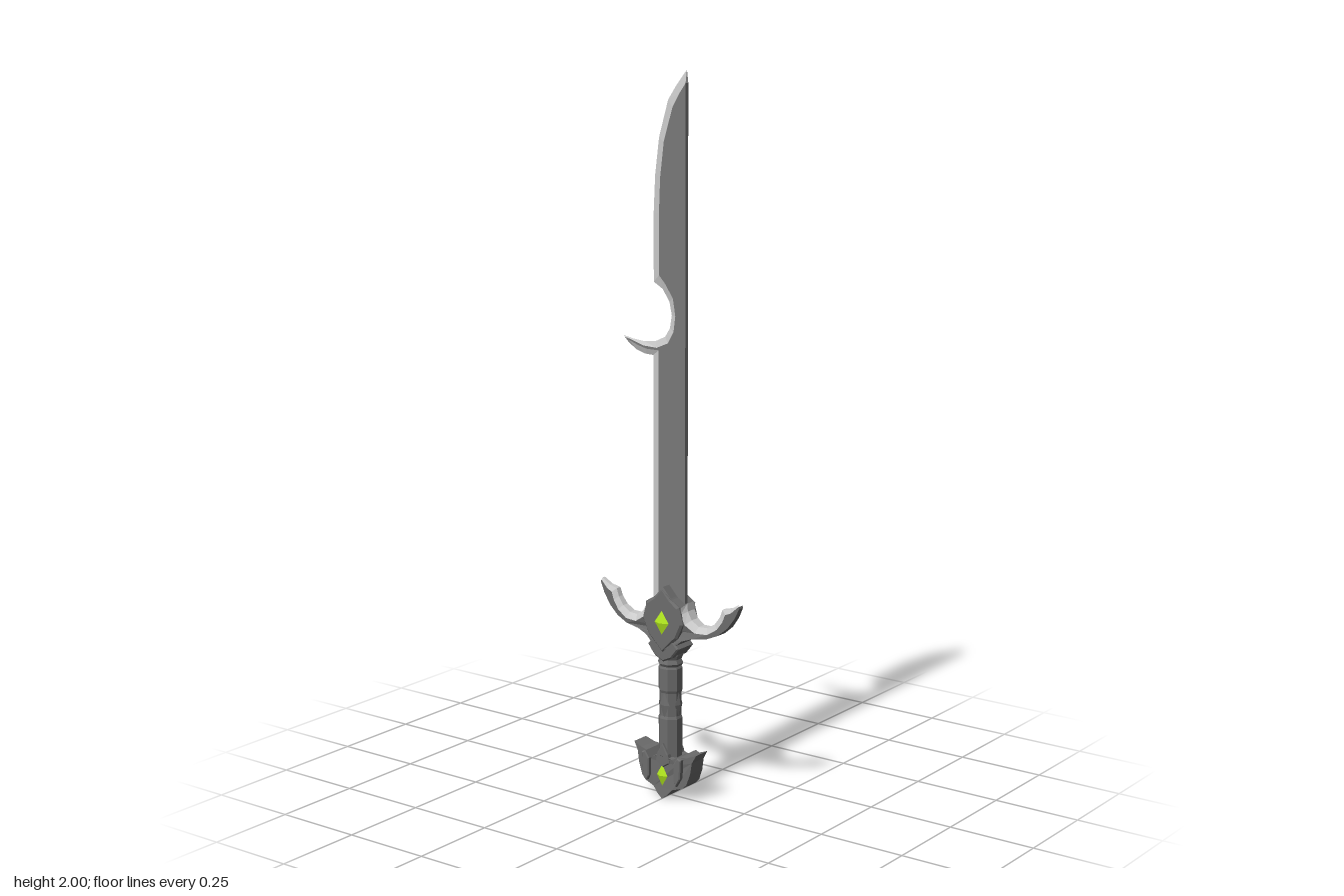
import * as THREE from 'three';

const paint = color => new THREE.MeshStandardMaterial({ color, flatShading: true });
const bright = paint(0xcccccc);
const bladeSteel = paint(0x787878);
const hiltSteel = paint(0x6c6c6c);
const green = paint(0xb4ea20);

function add(parent, name, geometry, material = hiltSteel) {
  const mesh = new THREE.Mesh(geometry, material);
  mesh.name = name;
  parent.add(mesh);
  return mesh;
}

// Completes a right-half outline (listed top to bottom) with its mirror image
function mirrored(half) {
  const left = half.filter(p => p[0] > 0).map(([x, y]) => [-x, y]).reverse();
  return [...half, ...left];
}

// Plate centred on z = 0 with chamfered rims
function plate(pts, halfDepth, bevel = 0) {
  const shape = new THREE.Shape(pts.map(([x, y]) => new THREE.Vector2(x, y)));
  const g = new THREE.ExtrudeGeometry(shape, {
    depth: 2 * (halfDepth - bevel), bevelEnabled: bevel > 0, bevelThickness: bevel,
    bevelSize: bevel, bevelOffset: -bevel, bevelSegments: 1,
  });
  return g.translate(0, 0, bevel - halfDepth);
}

// Plate whose thickness falls off toward the sides
function taperedPlate(pts, halfAt) {
  const g = plate(pts, 1);
  const p = g.attributes.position;
  for (let i = 0; i < p.count; i++) p.setZ(i, p.getZ(i) * halfAt(p.getX(i)));
  g.computeVertexNormals();
  return g;
}

// Skin across a row of sections, each a list of points running from +z to -z
function loft(sections) {
  const v = [];
  for (let i = 0; i < sections.length - 1; i++) {
    const [s, n] = [sections[i], sections[i + 1]];
    for (let j = 0; j < s.length - 1; j++) {
      v.push(...s[j + 1], ...s[j], ...n[j], ...s[j + 1], ...n[j], ...n[j + 1]);
    }
  }
  const g = new THREE.BufferGeometry();
  g.setAttribute('position', new THREE.Float32BufferAttribute(v, 3));
  g.computeVertexNormals();
  return g;
}

function gem(parent, name, y, w, h, zCentre, zTip) {
  for (const s of [1, -1]) {
    const m = add(parent, name, new THREE.OctahedronGeometry(1), green);
    m.scale.set(w, h, zTip - zCentre);
    m.position.set(0, y, s * zCentre);
  }
}

function blade() {
  const g = new THREE.Group();
  g.name = 'blade';
  const t = 0.006, spine = 0.053;
  // Cutting edge x, y, followed by the inner border of its ground bevel
  const rows = [
    [-0.058, 0.52, -0.036, 0.52], [-0.058, 1.236, -0.036, 1.252],
    [-0.085, 1.237, -0.075, 1.252], [-0.115, 1.246, -0.105, 1.259],
    [-0.14, 1.262, -0.135, 1.27], [-0.158, 1.28, -0.15, 1.277],
    [-0.13, 1.275, -0.13, 1.273], [-0.09, 1.271, -0.088, 1.26],
    [-0.05, 1.275, -0.042, 1.258], [-0.018, 1.29, -0.005, 1.274],
    [-0.002, 1.315, 0.014, 1.306], [0.004, 1.35, 0.02, 1.35],
    [-0.004, 1.386, 0.012, 1.396], [-0.026, 1.418, -0.013, 1.433],
    [-0.056, 1.435, -0.034, 1.455], [-0.056, 1.62, -0.034, 1.62],
    [-0.051, 1.72, -0.03, 1.715], [-0.038, 1.82, -0.018, 1.81],
    [-0.008, 1.92, 0.01, 1.9], [0.02, 1.96, 0.032, 1.937], [spine, 2, spine, 1.965],
  ];
  add(g, 'bladeBody', plate([...rows.map(r => [r[2], r[3]]), [spine, 0.52]], t), bladeSteel);
  const sections = rows.map(([ex, ey, ix, iy]) => [[ix, iy, t], [ex, ey, 0], [ix, iy, -t]]);
  // Closes the point on the spine side
  sections.push(Array(3).fill([spine, 1.965, 0]));
  add(g, 'cuttingEdge', loft(sections), bright);
  return g;
}

function guard() {
  const g = new THREE.Group();
  g.name = 'guard';
  const halfAt = x => 0.04 - 0.13 * Math.abs(x);
  // Concave upper side of an arm: rim x, y, followed by the border of its chamfer
  const rows = [
    [0.068, 0.567, 0.06, 0.557], [0.07, 0.545, 0.058, 0.537], [0.082, 0.522, 0.07, 0.51],
    [0.105, 0.507, 0.1, 0.491], [0.132, 0.508, 0.138, 0.492], [0.156, 0.523, 0.168, 0.511],
    [0.172, 0.545, 0.185, 0.535], [0.18, 0.567, 0.193, 0.556], [0.205, 0.573, 0.21, 0.563],
    [0.232, 0.589, 0.233, 0.584],
  ];
  add(g, 'guardArms', taperedPlate(mirrored([
    [0, 0.6], [0.03, 0.575], ...rows.map(r => [r[2], r[3]]),
    [0.235, 0.578], [0.222, 0.55], [0.2, 0.519], [0.17, 0.494], [0.135, 0.479],
    [0.09, 0.473], [0.06, 0.462], [0.035, 0.44], [0, 0.43],
  ]), halfAt));
  for (const s of [1, -1]) {
    const sections = rows.map(([ex, ey, ix, iy]) => {
      const h = halfAt(ix), e = 0.5 * halfAt(ex);
      return [[s * ix, iy, h], [s * ex, ey, e], [s * ex, ey, -e], [s * ix, iy, -h]];
    });
    if (s < 0) sections.reverse();
    add(g, 'armInnerEdge', loft(sections), bright);
  }

  // Raised star that holds the gem
  add(g, 'guardCentre', plate(mirrored([
    [0, 0.607], [0.029, 0.575], [0.055, 0.557], [0.068, 0.51],
    [0.048, 0.467], [0.025, 0.445], [0, 0.42],
  ]), 0.041, 0.006));
  gem(g, 'guardGem', 0.507, 0.026, 0.037, 0.04, 0.051);

  // Chevron collar below the guard
  add(g, 'guardCollar', plate(mirrored([
    [0, 0.465], [0.034, 0.458], [0.052, 0.438], [0.04, 0.422], [0.028, 0.408], [0, 0.395],
  ]), 0.037, 0.004));
  return g;
}

function grip() {
  const g = new THREE.Group();
  g.name = 'grip';
  const profile = [
    [0.033, 0.09], [0.034, 0.228], [0.031, 0.236], [0.031, 0.302], [0.034, 0.31],
    [0.034, 0.372], [0.031, 0.378], [0.036, 0.386], [0.031, 0.398], [0.036, 0.41], [0.036, 0.43],
  ].map(([r, y]) => new THREE.Vector2(r, y));
  add(g, 'handle', new THREE.LatheGeometry(profile, 8, Math.PI / 8));
  // Diamond studs on the four faces
  for (let i = 0; i < 4; i++) {
    const stud = add(g, 'gripStud', new THREE.OctahedronGeometry(1));
    stud.scale.set(0.017, 0.042, 0.006);
    stud.rotation.y = i * Math.PI / 2;
    stud.position.set(Math.sin(stud.rotation.y) * 0.028, 0.268, Math.cos(stud.rotation.y) * 0.028);
  }
  return g;
}

function pommel() {
  const g = new THREE.Group();
  g.name = 'pommel';
  add(g, 'pommelBody', taperedPlate(mirrored([
    [0, 0.125], [0.032, 0.118], [0.045, 0.105], [0.055, 0.128], [0.078, 0.131], [0.106, 0.142],
    [0.093, 0.118], [0.088, 0.085], [0.076, 0.052], [0.064, 0.04], [0.032, 0.03], [0.016, 0.012], [0, 0],
  ]), x => 0.041 - 0.14 * Math.abs(x)));
  // Side ribs
  for (const s of [1, -1]) {
    add(g, 'pommelRib', plate([
      [s * 0.042, 0.11], [s * 0.055, 0.13], [s * 0.067, 0.125],
      [s * 0.064, 0.07], [s * 0.05, 0.045], [s * 0.042, 0.06],
    ], 0.046, 0.003));
  }
  // Pointed leaf rising onto the grip
  add(g, 'pommelLeaf', plate(mirrored([[0, 0.16], [0.018, 0.13], [0.024, 0.105], [0, 0.09]]), 0.04, 0.003));
  gem(g, 'pommelGem', 0.068, 0.018, 0.031, 0.039, 0.049);
  return g;
}

export function createModel() {
  const model = new THREE.Group();
  model.name = 'sword';
  model.add(blade(), guard(), grip(), pommel());
  return model;
}
